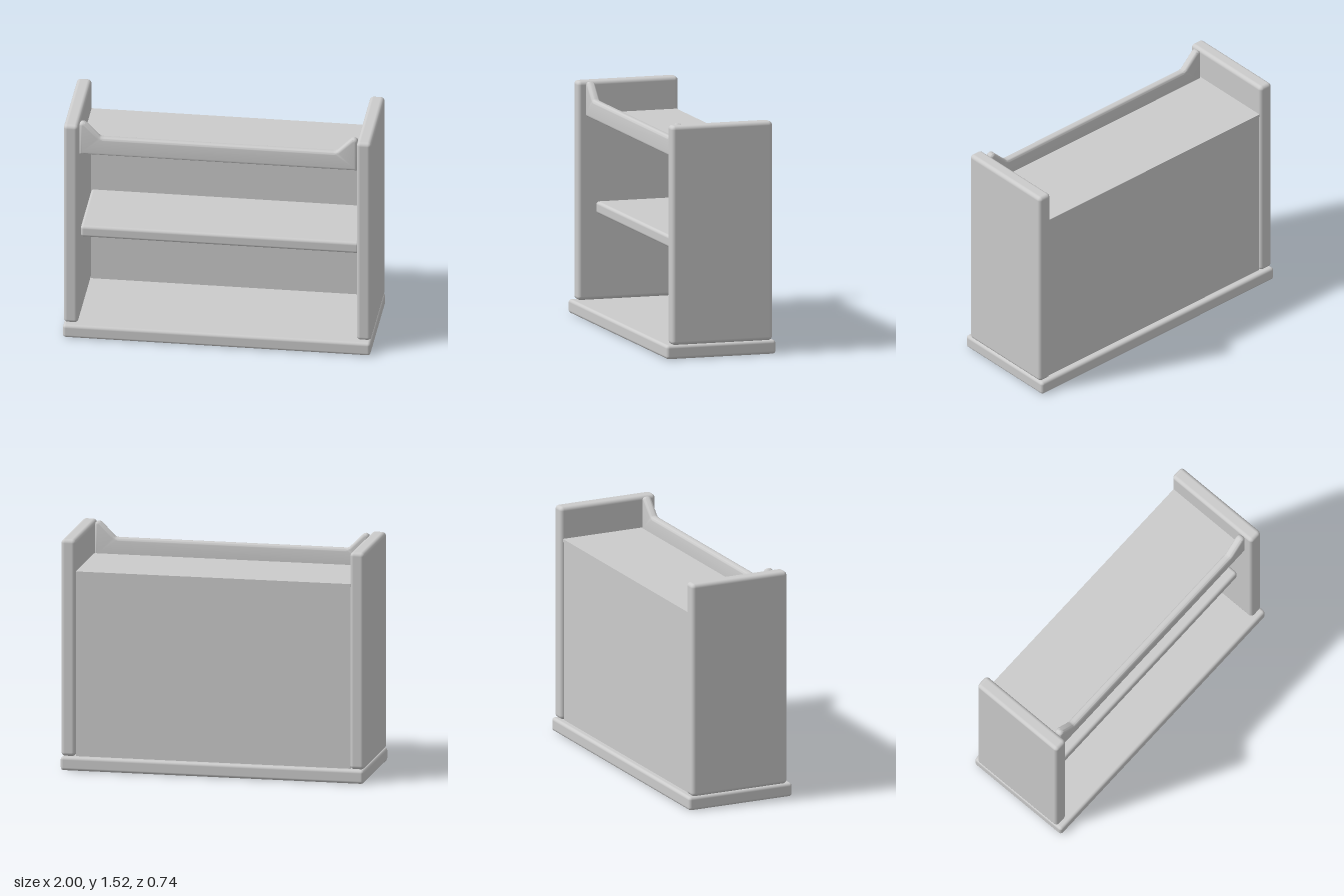
import * as THREE from 'three';
import { RoundedBoxGeometry } from 'three/addons/geometries/RoundedBoxGeometry.js';
import { toCreasedNormals } from 'three/addons/utils/BufferGeometryUtils.js';

const material = new THREE.MeshStandardMaterial({ color: 0xcccccc });

// Board given by its limits [min, max] on each axis; radius 0 gives sharp edges
function board(name, [x0, x1], [y0, y1], [z0, z1], radius) {
  const size = [x1 - x0, y1 - y0, z1 - z0];
  const geometry = radius
    ? new RoundedBoxGeometry(...size, 4, radius)
    : new THREE.BoxGeometry(...size);
  const mesh = new THREE.Mesh(geometry, material);
  mesh.name = name;
  mesh.position.set((x0 + x1) / 2, (y0 + y1) / 2, (z0 + z1) / 2);
  return mesh;
}

// Rail with raised ends; the outline is inset by the bevel, which rounds it back out
function frontRail() {
  const bevel = 0.02;
  const s = new THREE.Shape();
  s.moveTo(-0.885, 1.31);
  s.lineTo(0.885, 1.31);
  s.lineTo(0.885, 1.492);
  s.quadraticCurveTo(0.885, 1.504, 0.874, 1.497);
  s.lineTo(0.79, 1.413);
  s.quadraticCurveTo(0.774, 1.397, 0.745, 1.397);
  s.lineTo(-0.745, 1.397);
  s.quadraticCurveTo(-0.774, 1.397, -0.79, 1.413);
  s.lineTo(-0.874, 1.497);
  s.quadraticCurveTo(-0.885, 1.504, -0.885, 1.492);
  s.closePath();
  const geometry = new THREE.ExtrudeGeometry(s, {
    depth: 0.015, bevelThickness: bevel, bevelSize: bevel, bevelSegments: 5, curveSegments: 6,
  });
  const mesh = new THREE.Mesh(toCreasedNormals(geometry, 0.7), material);
  mesh.name = 'frontRail';
  mesh.position.z = 0.25;
  return mesh;
}

export function createModel() {
  const group = new THREE.Group();
  group.name = 'shelfUnit';
  const inner = [-0.905, 0.905];

  group.add(board('base', [-1, 1], [0, 0.09], [-0.372, 0.372], 0.02));
  group.add(board('leftSide', [0.905, 1], [0.09, 1.52], [-0.35, 0.335], 0.025));
  group.add(board('rightSide', [-1, -0.905], [0.09, 1.52], [-0.35, 0.335], 0.025));
  group.add(board('middleShelf', inner, [0.655, 0.735], [-0.325, 0.215], 0.02));

  // Thin sheets: top shelf slightly overhanging the back panel
  group.add(board('topShelf', inner, [1.29, 1.31], [-0.335, 0.25], 0));
  group.add(board('backPanel', inner, [0.085, 1.295], [-0.328, -0.31], 0));

  group.add(frontRail());
  return group;
}
